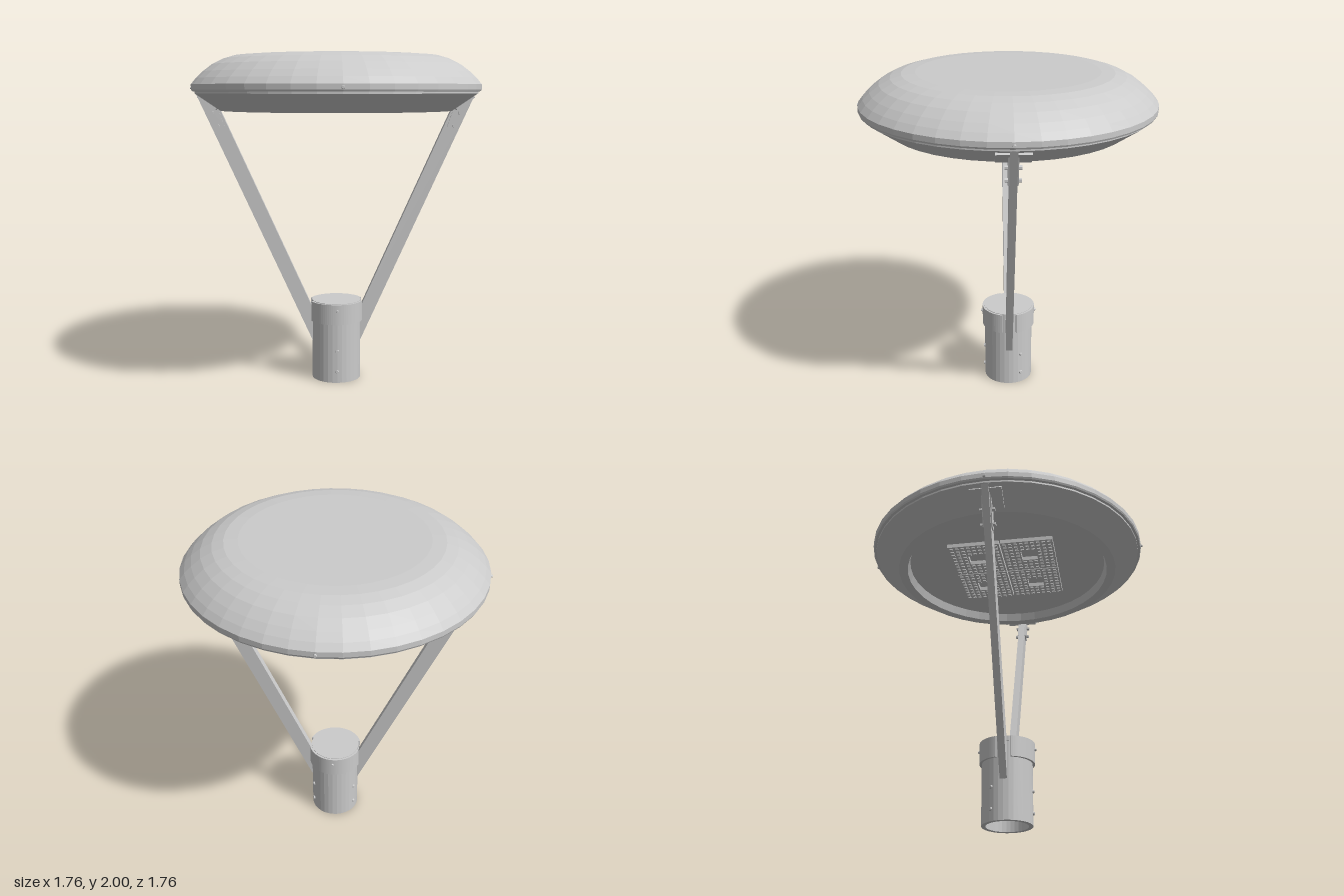
import * as THREE from 'three';
import { mergeGeometries } from 'three/addons/utils/BufferGeometryUtils.js';

const flat = new THREE.MeshStandardMaterial({ color: 0xcccccc, flatShading: true, side: THREE.DoubleSide });
const smooth = new THREE.MeshStandardMaterial({ color: 0xcccccc });

function add(parent, name, geometry, material = flat) {
  const mesh = new THREE.Mesh(geometry, material);
  mesh.name = name;
  parent.add(mesh);
  return mesh;
}

const lathe = (points, sides) =>
  new THREE.LatheGeometry(points.map(([r, y]) => new THREE.Vector2(r, y)), sides);

// Flat outline in the xy plane, thickened symmetrically about z = 0
function slab(points, depth) {
  const shape = new THREE.Shape(points.map(([x, y]) => new THREE.Vector2(x, y)));
  return new THREE.ExtrudeGeometry(shape, { depth, bevelEnabled: false }).translate(0, 0, -depth / 2);
}

// Screw head pointing outwards from the axis at the given angle (0 = front)
function radialScrew(parent, name, angle, radius, y, size) {
  const screw = add(parent, name, new THREE.CylinderGeometry(size * 0.7, size, 0.014, 10).rotateX(Math.PI / 2));
  screw.position.set(Math.sin(angle) * radius, y, Math.cos(angle) * radius);
  screw.rotation.y = angle;
}

function createHead() {
  const head = new THREE.Group();
  head.name = 'lampHead';
  add(head, 'dome', lathe([
    [0.845, 1.782], [0.865, 1.785], [0.87, 1.795], [0.87, 1.825], [0.84, 1.862], [0.8, 1.9],
    [0.745, 1.942], [0.68, 1.975], [0.615, 1.994], [0.535, 2], [0, 2]], 40));
  // Conical underside, rim and recessed plate
  add(head, 'underside', lathe([
    [0, 1.72], [0.63, 1.72], [0.645, 1.67], [0.7, 1.67], [0.85, 1.772], [0.85, 1.783]], 40));
  for (let i = 0; i < 4; i++) radialScrew(head, 'rimScrew', i * Math.PI / 2, 0.872, 1.805, 0.011);

  // Four light modules: a board with a square opening, ringed by small lenses
  const boardShape = new THREE.Shape();
  const h = 0.163, o = 0.05;
  boardShape.moveTo(-h, -h).lineTo(h, -h).lineTo(h, h).lineTo(-h, h).closePath();
  const opening = new THREE.Path();
  opening.moveTo(-o, -o).lineTo(-o, o).lineTo(o, o).lineTo(o, -o).closePath();
  boardShape.holes.push(opening);
  const board = new THREE.ExtrudeGeometry(boardShape, { depth: 0.025, bevelEnabled: false }).rotateX(Math.PI / 2);
  const lenses = [];
  for (let i = -4; i <= 4; i++) {
    for (let j = -4; j <= 4; j++) {
      if (Math.max(Math.abs(i), Math.abs(j)) < 2) continue;
      lenses.push(new THREE.BoxGeometry(0.02, 0.008, 0.02).translate(i * 0.035, -0.029, j * 0.035));
    }
  }
  const lensGrid = mergeGeometries(lenses);
  for (const x of [-1, 1]) {
    for (const z of [-1, 1]) {
      const module = new THREE.Group();
      module.name = 'lightModule';
      module.position.set(x * 0.167, 1.72, z * 0.167);
      add(module, 'board', board);
      add(module, 'lenses', lensGrid);
      head.add(module);
    }
  }
  return head;
}

// Sloping arm on the +x side with its mounting bracket and bolts
function createArm() {
  const arm = new THREE.Group();
  arm.name = 'supportArm';
  add(arm, 'armBar', slab([
    [0.845, 1.77], [0.70, 1.672], [0.155, 0.46], [0.14, 0.46], [0.14, 0.24], [0.15, 0.24]], 0.042));

  const plate = add(arm, 'bracketPlate', new THREE.BoxGeometry(0.13, 0.014, 0.19));
  plate.position.set(0.772, 1.716, 0);
  plate.rotation.z = 0.6;

  for (const side of [-1, 1]) {
    const tab = add(arm, 'bracketTab', slab([
      [0.80, 1.735], [0.71, 1.673], [0.675, 1.57], [0.70, 1.545], [0.735, 1.55]], 0.008));
    tab.position.z = side * 0.024;
    for (const [x, y] of [[0.75, 1.655], [0.715, 1.575]]) {
      const bolt = add(arm, 'bracketBolt', new THREE.CylinderGeometry(0.013, 0.013, 0.018, 6).rotateX(Math.PI / 2));
      bolt.position.set(x, y, side * 0.036);
    }
  }
  return arm;
}

function createBase() {
  const base = new THREE.Group();
  base.name = 'poleBase';
  // Hollow sleeve, open at the bottom
  add(base, 'sleeve', lathe([
    [0.125, 0.47], [0.125, 0], [0.15, 0], [0.15, 0.49]], 32));
  add(base, 'cap', new THREE.CylinderGeometry(0.152, 0.152, 0.03, 32), flat).position.y = 0.483;

  // Two half collars, front and back, leaving a gap for each arm
  const gap = 0.28, outer = 0.164, inner = 0.149;
  const half = new THREE.Shape();
  half.absarc(0, 0, outer, gap, Math.PI - gap, false);
  half.absarc(0, 0, inner, Math.PI - gap, gap, true);
  const halfCollar = new THREE.ExtrudeGeometry(half, { depth: 0.125, bevelEnabled: false, curveSegments: 16 })
    .rotateX(Math.PI / 2).translate(0, 0.495, 0);
  for (const turn of [0, Math.PI]) {
    add(base, 'halfCollar', halfCollar).rotation.y = turn;
    radialScrew(base, 'collarScrew', turn, 0.167, 0.455, 0.011);
  }
  // Set screws at thirds around the sleeve
  for (let i = 0; i < 3; i++) {
    for (const y of [0.07, 0.2]) radialScrew(base, 'setScrew', i * Math.PI * 2 / 3, 0.152, y, 0.013);
  }
  return base;
}

export function createModel() {
  const model = new THREE.Group();
  model.name = 'postTopLamp';
  const leftArm = createArm();
  const rightArm = createArm();
  rightArm.rotation.y = Math.PI;
  model.add(createHead(), leftArm, rightArm, createBase());
  // Rounded knob finish on the hidden inner end of the sleeve
  add(model, 'sleeveStop', new THREE.CylinderGeometry(0.125, 0.125, 0.01, 32), smooth).position.y = 0.465;
  return model;
}
